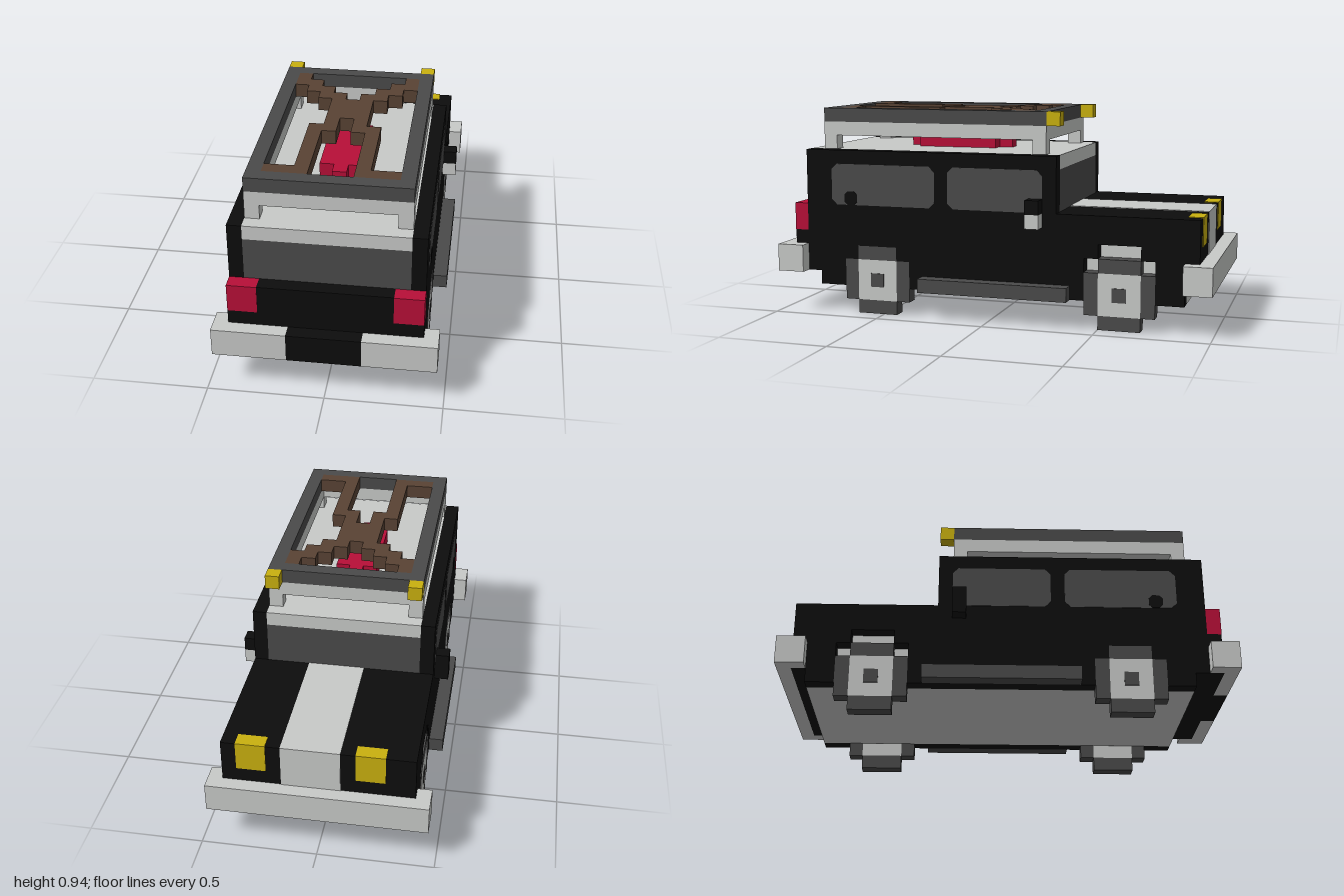
import * as THREE from 'three';

const U = 1 / 16; // one block

export function createModel() {
  const root = new THREE.Group();
  const mat = (name, color) => {
    const m = new THREE.MeshStandardMaterial({ color });
    m.name = name;
    return m;
  };
  const black = mat('black paint', 0x0d0d0d);
  const dark = mat('dark grey', 0x4a4a4a);
  const light = mat('light grey', 0xc8cac8);
  const red = mat('red', 0xb80f38);
  const yellow = mat('yellow', 0xc9b00f);
  const brown = mat('brown', 0x594334);

  // Box from its limits, in blocks
  const box = (name, m, x0, x1, y0, y1, z0, z1, parent = root) => {
    const mesh = new THREE.Mesh(new THREE.BoxGeometry((x1 - x0) * U, (y1 - y0) * U, (z1 - z0) * U), m);
    mesh.position.set((x0 + x1) * U / 2, (y0 + y1) * U / 2, (z0 + z1) * U / 2);
    mesh.name = name;
    parent.add(mesh);
    return mesh;
  };
  // Box and its mirror image on the other side
  const pair = (name, m, x0, x1, ...rest) => {
    box(name, m, x0, x1, ...rest);
    box(name, m, -x1, -x0, ...rest);
  };
  // Side profile of (z, y) points, extruded from x0 to x1
  const profile = (name, m, pts, x0, x1) => {
    const shape = new THREE.Shape(pts.map(([z, y]) => new THREE.Vector2(z * U, y * U)));
    const geo = new THREE.ExtrudeGeometry(shape, { depth: (x1 - x0) * U, bevelEnabled: false });
    geo.rotateY(-Math.PI / 2);
    geo.translate(x1 * U, 0, 0);
    const mesh = new THREE.Mesh(geo, m);
    mesh.name = name;
    root.add(mesh);
  };

  // Body core
  box('underbody', light, -5.5, 5.5, 2, 3, -14, 13);
  box('lowerBody', black, -5.5, 5.5, 3, 8, -15, 14);
  box('tailPanel', black, -5.5, 5.5, 3, 6, 14, 15);
  box('tailgate', black, -4.5, 4.5, 6, 8, 14, 15);
  box('cabinGlass', dark, -5.5, 5.5, 8, 11, -5, 14);
  box('roof', light, -5.5, 5.5, 11, 12, -5, 14);

  // Side walls with stepped wheel openings
  const wall = [
    [-14, 2], [-12, 2], [-12, 5], [-11, 5], [-11, 6], [-8, 6], [-8, 5], [-7, 5], [-7, 2],
    [6, 2], [6, 4], [7, 4], [7, 5], [10, 5], [10, 4], [11, 4], [11, 2],
    [13, 2], [13, 3], [15, 3], [15, 6], [14, 6], [14, 12], [-5, 12], [-5, 8], [-15, 8], [-15, 3], [-14, 3],
  ];
  // Window outline with clipped corners
  const pane = (z0, z1, y0, y1, c = 0.4) => [
    [z0 + c, y0], [z1 - c, y0], [z1, y0 + c], [z1, y1 - c],
    [z1 - c, y1], [z0 + c, y1], [z0, y1 - c], [z0, y0 + c],
  ];
  for (const s of [-1, 1]) {
    const span = (a, b) => (s > 0 ? [a, b] : [-b, -a]);
    profile('sideWall', black, wall, ...span(5.5, 6.5));
    profile('rearSideWindow', dark, pane(4, 12, 8, 11), ...span(6.47, 6.54));
    profile('frontSideWindow', dark, pane(-4, 3, 8, 11), ...span(6.47, 6.54));
    profile('windowLatch', black, pane(10, 11, 8, 9, 0.25), ...span(6.5, 6.58));
  }
  pair('wheelWell', light, 5.45, 5.53, 3, 6, -12, -7);
  pair('sideStep', dark, 6.5, 7.5, 2, 3, -6, 5);

  // Wing mirrors
  pair('mirror', black, 6.5, 7.5, 8, 9, -4, -3);
  box('mirrorGlass', light, 6.5, 7.5, 7, 8, -4, -3);
  box('mirrorLower', black, -7.5, -6.5, 7, 8, -4, -3);

  // Wheels: stepped tyre, hub and centre cap
  for (const z of [8.5, -9.5]) {
    for (const x of [-6, 6]) {
      const wheel = new THREE.Group();
      wheel.name = 'wheel';
      wheel.position.set(x * U, 2.5 * U, z * U);
      root.add(wheel);
      for (const d of [-2, 2]) {
        box('tyre', dark, -0.5, 0.5, d - 0.5, d + 0.5, -1.5, 1.5, wheel);
        box('tyre', dark, -0.5, 0.5, -1.5, 1.5, d - 0.5, d + 0.5, wheel);
      }
      box('hub', light, -0.5, 0.5, -1.5, 1.5, -1.5, 1.5, wheel);
      box('hubCap', dark, -0.55, 0.55, -0.5, 0.5, -0.5, 0.5, wheel);
    }
  }

  // Bumpers
  box('noseBumper', light, -7.5, 7.5, 3, 5, -16, -15);
  pair('noseBumperEnd', light, 6.5, 7.5, 3, 5, -15, -14);
  pair('tailBumper', light, 2.5, 7.5, 3, 5, 15, 16);
  pair('tailBumperEnd', light, 6.5, 7.5, 3, 5, 14, 15);
  box('tailBumperCentre', black, -2.5, 2.5, 3, 5, 15, 16);

  // Lamps and bonnet stripe
  pair('tailLamp', red, 4.5, 6.5, 6, 8, 14, 15.03);
  box('bonnetStripe', light, -1.5, 2.5, 3, 8.05, -15.05, -5);
  for (const x of [-4.5, 3.5]) box('headLamp', yellow, x, x + 2, 6, 8.05, -15.05, -14);

  // Roof rack: posts, light lower rail, dark upper rail
  for (const z of [-4, 12]) pair('rackPost', light, 4.5, 5.5, 12, 13, z, z + 1);
  for (const [name, m, y] of [['lowerRail', light, 13], ['upperRail', dark, 14]]) {
    pair(name, m, 4.5, 5.5, y, y + 1, -4, 13);
    for (const z of [-4, 12]) box(name, m, -4.5, 4.5, y, y + 1, z, z + 1);
  }
  pair('rackLamp', yellow, 4.5, 5.5, 14, 15, -5, -4);

  // Red bundle lying on the roof
  box('bundle', red, -1.5, 1.5, 12, 13, 1, 7);
  box('bundleTip', red, -0.5, 0.5, 12, 13, 0, 1);
  box('bundleTip', red, -0.5, 0.5, 12, 13, 7, 8);

  // Brown carrier in the rack; each row is [x0, x1, z0, z1] of one half
  const rows = [
    [3.5, 4.5, -3, -2], [2.5, 4.5, -2, -1], [1.5, 3.5, -1, 0], [0.5, 2.5, 0, 1],
    [0, 1.5, 1, 4], [0.5, 1.5, 4, 5], [0.5, 2.5, 5, 6], [1.5, 2.5, 6, 11], [1.5, 4.5, 11, 12],
  ];
  for (const [x0, x1, z0, z1] of rows) pair('carrier', brown, x0, x1, 14, 15, z0, z1);

  return root;
}
